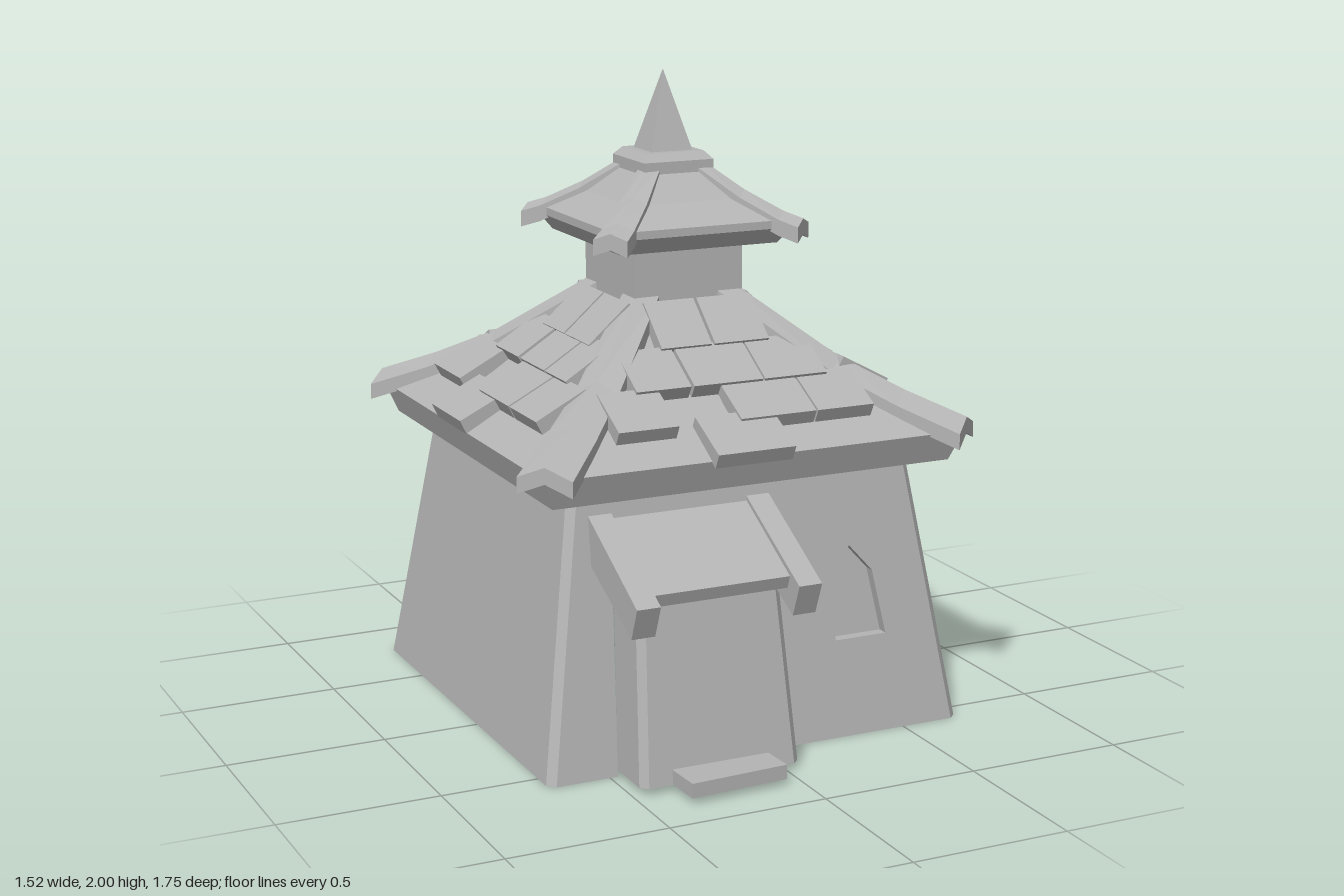
import * as THREE from 'three';

const stone = new THREE.MeshStandardMaterial({ color: 0xb4b4b4, side: THREE.DoubleSide });
stone.name = 'stone grey';

function add(parent, name, geometry) {
  const mesh = new THREE.Mesh(geometry, stone);
  mesh.name = name;
  parent.add(mesh);
  return mesh;
}

// Flat-shaded skin over cross-sections, each an equal-length list of [x, y, z]
function loft(sections, closed = true, caps = true) {
  const out = [], n = sections[0].length;
  for (let i = 0; i < sections.length - 1; i++) {
    for (let j = 0; j < (closed ? n : n - 1); j++) {
      const k = (j + 1) % n, a = sections[i], b = sections[i + 1];
      out.push(...a[j], ...a[k], ...b[k], ...a[j], ...b[k], ...b[j]);
    }
  }
  if (closed && caps) {
    const s = sections[0], e = sections[sections.length - 1];
    for (let j = 1; j < n - 1; j++) {
      out.push(...s[0], ...s[j + 1], ...s[j], ...e[0], ...e[j], ...e[j + 1]);
    }
  }
  const g = new THREE.BufferGeometry();
  g.setAttribute('position', new THREE.Float32BufferAttribute(out, 3));
  g.computeVertexNormals();
  return g;
}

// Square tower piece from [half width, height] pairs, bottom to top
const square = (levels) => loft(levels.map(([h, y]) => [[h, y, h], [h, y, -h], [-h, y, -h], [-h, y, h]]));

// Side profile of [z, y] points stretched from x0 to x1
function prism(points, x0, x1) {
  const shape = new THREE.Shape(points.map((p) => new THREE.Vector2(...p)));
  return new THREE.ExtrudeGeometry(shape, { depth: x1 - x0, bevelEnabled: false })
    .rotateY(-Math.PI / 2).translate(x1, 0, 0);
}

// Leaning walls
const TOP = 0.84, BEVEL = 0.024;
const wallHalf = (y) => 0.696 - 0.15 * y;

function lean(geometry, inset = 0) {
  const p = geometry.attributes.position;
  for (let i = 0; i < p.count; i++) p.setZ(i, wallHalf(p.getY(i)) - inset);
  geometry.computeVertexNormals();
  return geometry;
}

function buildWall(side, outline, opening) {
  const vec = (pts) => pts.map((p) => new THREE.Vector2(...p));
  const shape = new THREE.Shape(vec(outline));
  if (opening) shape.holes.push(new THREE.Path(vec(opening)));
  add(side, 'wall', lean(new THREE.ShapeGeometry(shape)));
  if (opening) {
    const ring = (inset) => opening.map(([x, y]) => [x, y, wallHalf(y) - inset]);
    add(side, 'windowReveal', loft([ring(0.035), ring(0)], true, false));
    add(side, 'windowPane', lean(new THREE.ShapeGeometry(new THREE.Shape(vec(opening))), 0.035));
  }
  // Bevelled corner beside the wall
  const corner = (y) => {
    const h = wallHalf(y);
    return [[h - BEVEL, y, h], [h, y, h - BEVEL]];
  };
  add(side, 'wallCorner', loft([corner(0), corner(TOP)], false));
}

// Concave roof, as [half width, height]
const ROOF = [[0.695, 0.93], [0.5, 1.04], [0.33, 1.15], [0.15, 1.33]];
function roofY(d) {
  let i = 0;
  while (i < ROOF.length - 2 && d < ROOF[i + 1][0]) i++;
  const [d0, y0] = ROOF[i], [d1, y1] = ROOF[i + 1];
  return y0 + (y1 - y0) * (d - d0) / (d1 - d0);
}

function addShingle(side, x0, x1, d) {
  const back = d - 0.15, yFront = roofY(d), yBack = roofY(back);
  const g = new THREE.BoxGeometry(x1 - x0, 0.05, 0.18);
  g.rotateX(Math.atan2(yBack - yFront, 0.15) - 0.06);
  g.translate((x0 + x1) / 2, (yFront + yBack) / 2 + 0.018, (d + back) / 2);
  add(side, 'shingle', g);
}

// Folded ridge beam; path lists [half width of roof, ridge height, beam half width]
function ridgeBeam(path, fold, thick) {
  return loft(path.map(([d, y, w]) => [
    [0, -thick], [w, -fold - thick], [w, -fold], [0, 0], [-w, -fold], [-w, -fold - thick],
  ].map(([px, py]) => [px, y + py, d * Math.SQRT2])));
}

export function createModel() {
  const model = new THREE.Group();
  model.name = 'tower house';
  const tower = new THREE.Group();
  tower.name = 'tower';
  tower.position.z = -0.11;
  model.add(tower);

  // Walls: front, +x, back, -x
  const b = wallHalf(0) - BEVEL, t = wallHalf(TOP) - BEVEL;
  const plain = [[-b, 0], [b, 0], [t, TOP], [-t, TOP]];
  const withDoor = [[-b, 0], [-0.475, 0], [-0.45, 0.6], [0.02, 0.6], [0.045, 0], [b, 0], [t, TOP], [-t, TOP]];
  const arch = [[0.28, 0.3], [0.455, 0.3], [0.42, 0.5], [0.345, 0.585], [0.285, 0.51]];
  const backArch = [[0.15, 0.3], [0.31, 0.3], [0.3, 0.5], [0.23, 0.585], [0.165, 0.5]];
  const wide = [[0.02, 0.28], [0.315, 0.28], [0.31, 0.66], [0.025, 0.66]];
  const walls = [[withDoor, arch], [plain, wide], [plain, backArch], [plain, null]];

  // Shingles per side: [x0, x1, distance of lower edge]
  const topRow = [[-0.165, 0.005, 0.335], [0.015, 0.2, 0.335]];
  const shingles = [
    [[-0.31, -0.13, 0.465], [-0.12, 0.112, 0.465], [0.118, 0.33, 0.465],
      [-0.43, -0.235, 0.6], [-0.03, 0.222, 0.6], [0.228, 0.42, 0.6], [-0.165, 0.09, 0.72]],
    [[-0.27, -0.08, 0.45], [-0.07, 0.11, 0.45], [0.145, 0.32, 0.45],
      [-0.445, -0.25, 0.55], [-0.05, 0.15, 0.56], [0.21, 0.41, 0.55], [-0.17, 0.08, 0.69]],
    [[-0.25, -0.12, 0.43], [-0.11, 0.11, 0.43], [0.115, 0.25, 0.43],
      [-0.42, -0.23, 0.56], [-0.04, 0.11, 0.56], [0.23, 0.43, 0.56]],
    [[-0.27, -0.08, 0.45], [-0.06, 0.13, 0.45], [0.14, 0.3, 0.45],
      [-0.45, -0.22, 0.59], [-0.05, 0.19, 0.59], [0.2, 0.41, 0.59], [-0.18, 0.07, 0.7]],
  ];

  const sides = ['front', 'left', 'back', 'right'].map((name, i) => {
    const side = new THREE.Group();
    side.name = name + 'Side';
    side.rotation.y = i * Math.PI / 2;
    tower.add(side);
    buildWall(side, ...walls[i]);
    for (const s of [...topRow, ...shingles[i]]) addShingle(side, ...s);
    return side;
  });

  // Open shutters and lintel around the wide window
  const leanAngle = -Math.atan(0.15);
  for (const [hinge, dir, width] of [[0.015, -1, 0.2], [0.325, 1, 0.19]]) {
    const pivot = new THREE.Group();
    pivot.name = 'shutterHinge';
    pivot.position.set(hinge, 0.48, wallHalf(0.48));
    pivot.rotation.set(leanAngle, -dir * 0.15, 0);
    const g = new THREE.BoxGeometry(width, 0.335, 0.035).translate(dir * width / 2, 0, 0.015);
    add(pivot, 'shutter', g);
    sides[1].add(pivot);
  }
  add(sides[1], 'lintel', new THREE.BoxGeometry(0.38, 0.075, 0.11)).position.set(0.165, 0.697, 0.622);

  // Main roof, neck, small roof, cap and spire
  add(tower, 'eave', square([[0.66, 0.835], [0.695, 0.93]]));
  add(tower, 'mainRoof', square(ROOF));
  add(tower, 'neck', square([[0.185, 1.2], [0.185, 1.5]]));
  add(tower, 'upperEave', square([[0.265, 1.48], [0.3, 1.53], [0.3, 1.555]]));
  add(tower, 'upperRoof', square([[0.3, 1.555], [0.2, 1.615], [0.1, 1.71]]));
  add(tower, 'cap', square([[0.09, 1.67], [0.118, 1.69], [0.118, 1.73], [0.095, 1.755]]));
  add(tower, 'spire', square([[0.07, 1.75], [0.001, 2]]));

  // Ridge beams on the four hips of both roofs
  const mainBeam = [[0.14, 1.365, 0.06], [0.41, 1.135, 0.07], [0.56, 1.045, 0.08], [0.7, 0.975, 0.087]];
  const upperBeam = [[0.08, 1.735, 0.035], [0.19, 1.64, 0.045], [0.28, 1.58, 0.052], [0.325, 1.56, 0.055]];
  for (let i = 0; i < 4; i++) {
    const angle = Math.PI / 4 + i * Math.PI / 2;
    add(tower, 'mainRidgeBeam', ridgeBeam(mainBeam, 0.035, 0.05)).rotation.y = angle;
    add(tower, 'upperRidgeBeam', ridgeBeam(upperBeam, 0.02, 0.05)).rotation.y = angle;
  }

  // Porch walls, open to the house behind
  const porchRing = (y, half, front) => {
    const c = -0.215, back = wallHalf(y) - 0.11, v = 0.022;
    return [[c - half, y, back], [c - half, y, front - v], [c - half + v, y, front],
      [c + half - v, y, front], [c + half, y, front - v], [c + half, y, back]];
  };
  add(model, 'porchWalls', loft([porchRing(0.02, 0.26, 0.76), porchRing(0.62, 0.23, 0.668)], false));

  // Porch roof with side beams, and the door step
  add(model, 'porchRoof', prism([[0.44, 0.78], [0.755, 0.605], [0.74, 0.565], [0.44, 0.7]], -0.45, 0.015));
  for (const x of [-0.515, 0.005]) {
    add(model, 'porchRoofBeam', prism([[0.455, 0.785], [0.815, 0.59], [0.775, 0.49], [0.44, 0.655]], x, x + 0.075));
  }
  const step = add(model, 'doorStep', new THREE.BoxGeometry(0.315, 0.045, 0.17));
  step.position.set(-0.217, 0.043, 0.785);
  step.rotation.y = 0.05;

  return model;
}
